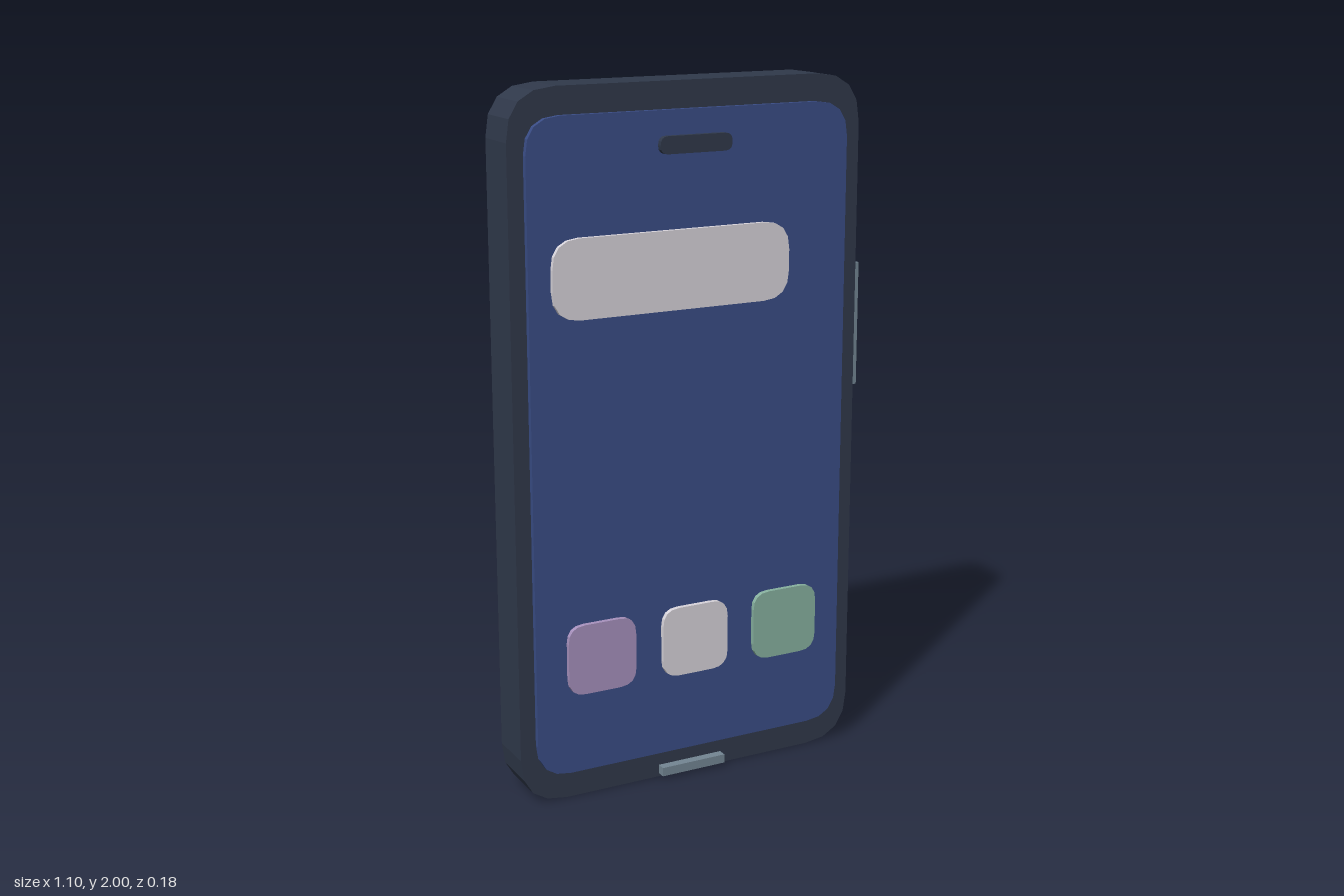
import * as THREE from 'three';

const material = (name, color) => {
  const m = new THREE.MeshStandardMaterial({ color });
  m.name = name;
  return m;
};

// Rounded rectangle between two corners
function roundedRect(x0, y0, x1, y1, r) {
  const s = new THREE.Shape();
  s.moveTo(x0 + r, y0);
  s.lineTo(x1 - r, y0);
  s.quadraticCurveTo(x1, y0, x1, y0 + r);
  s.lineTo(x1, y1 - r);
  s.quadraticCurveTo(x1, y1, x1 - r, y1);
  s.lineTo(x0 + r, y1);
  s.quadraticCurveTo(x0, y1, x0, y1 - r);
  s.lineTo(x0, y0 + r);
  s.quadraticCurveTo(x0, y0, x0 + r, y0);
  return s;
}

export function createModel() {
  const group = new THREE.Group();
  group.name = 'phone';

  const caseDark = material('dark slate', 0x30394b);
  const screenBlue = material('screen blue', 0x3a4d86);
  const paleGrey = material('pale grey', 0xd9d5dc);
  const lilac = material('lilac', 0xa892be);
  const mint = material('mint green', 0x88b2a0);
  const steel = material('steel grey', 0x748794);

  // Rounded slab spanning z0 to z1
  const slab = (name, mat, [x0, x1], [y0, y1], [z0, z1], r) => {
    const geo = new THREE.ExtrudeGeometry(roundedRect(x0, y0, x1, y1, r), {
      depth: z1 - z0, bevelEnabled: false, curveSegments: 4,
    });
    geo.translate(0, 0, z0);
    const mesh = new THREE.Mesh(geo, mat);
    mesh.name = name;
    group.add(mesh);
  };

  // Plain block between two corners
  const block = (name, mat, [x0, x1], [y0, y1], [z0, z1]) => {
    const mesh = new THREE.Mesh(new THREE.BoxGeometry(x1 - x0, y1 - y0, z1 - z0), mat);
    mesh.position.set((x0 + x1) / 2, (y0 + y1) / 2, (z0 + z1) / 2);
    mesh.name = name;
    group.add(mesh);
  };

  // Case and screen
  slab('body', caseDark, [-0.548, 0.521], [0, 2], [-0.09, 0.049], 0.14);
  slab('screen', screenBlue, [-0.502, 0.473], [0.08, 1.925], [0.049, 0.065], 0.1);

  // Earpiece and wide widget, standing just off the glass
  slab('earpiece', caseDark, [-0.123, 0.094], [1.81, 1.858], [0.073, 0.089], 0.022);
  slab('widget', paleGrey, [-0.44, 0.28], [1.385, 1.605], [0.07, 0.083], 0.08);

  // Row of app tiles
  [lilac, paleGrey, mint].forEach((mat, i) => {
    const x = -0.309 + i * 0.294;
    slab('appTile' + (i + 1), mat, [x - 0.104, x + 0.104], [0.32, 0.525], [0.073, 0.087], 0.05);
  });

  // Side button and bottom port
  block('sideButton', steel, [0.515, 0.548], [1.095, 1.455], [-0.062, 0.024]);
  block('port', steel, [-0.116, 0.087], [0.01, 0.036], [0.04, 0.075]);

  return group;
}
